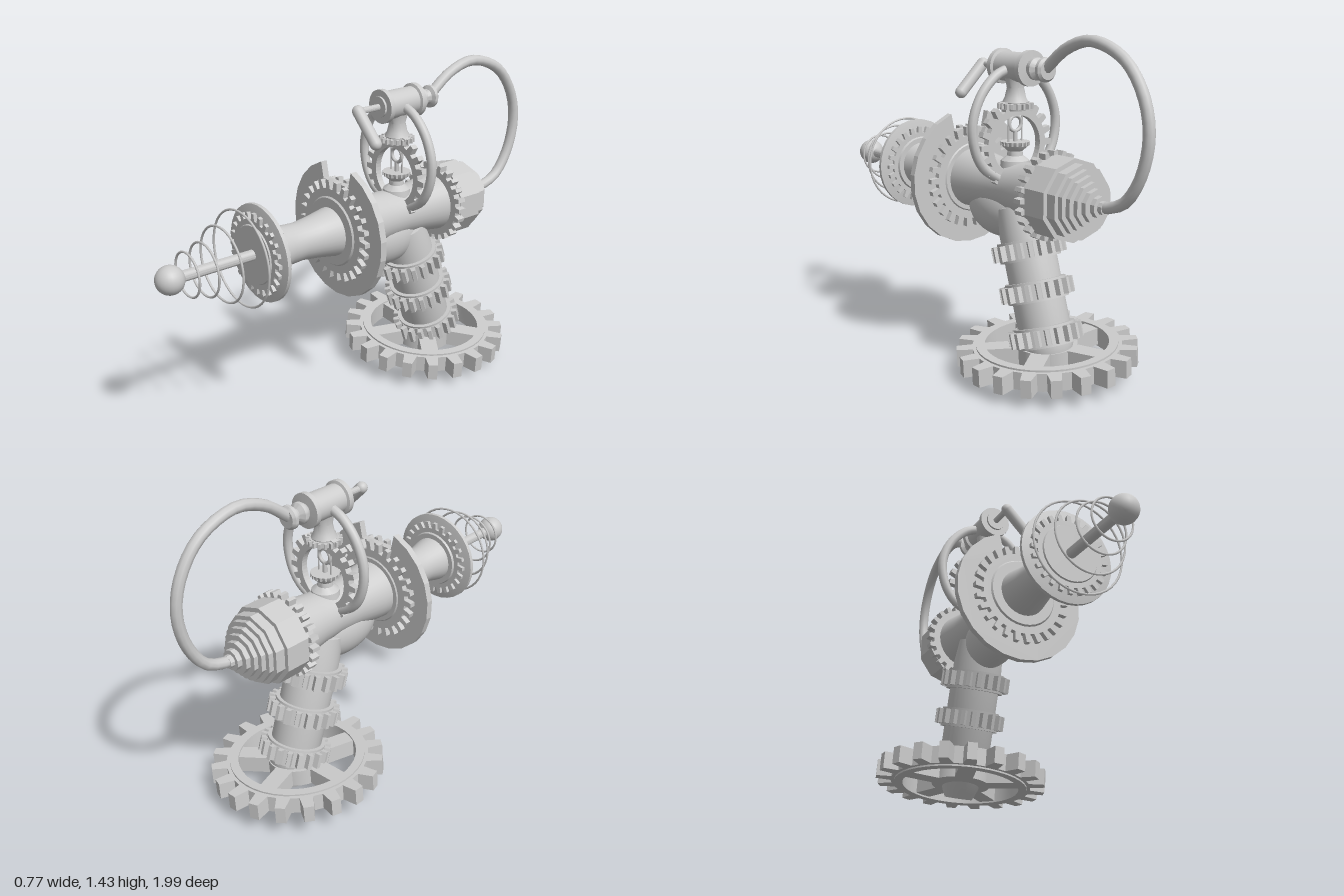
import * as THREE from 'three';
import { toCreasedNormals } from 'three/addons/utils/BufferGeometryUtils.js';

const AXIS = 0.78; // height of the barrel axis
const POST = -0.22; // z of the post, arch and wheel

export function createModel() {
  const model = new THREE.Group();
  const grey = new THREE.MeshStandardMaterial({ color: 0xcccccc, side: THREE.DoubleSide });

  function add(name, geometry, x = 0, y = 0, z = 0, parent = model) {
    const mesh = new THREE.Mesh(geometry, grey);
    mesh.name = name;
    mesh.position.set(x, y, z);
    parent.add(mesh);
    return mesh;
  }

  // Turned part standing on y; profile is [radius, height] from low to high
  const turned = (profile, sides = 32, crease = 0.6) => toCreasedNormals(
    new THREE.LatheGeometry(profile.map(([r, h]) => new THREE.Vector2(r, h)), sides), crease);
  // The same lying along z
  const turnedZ = (profile, sides, crease) => turned(profile, sides, crease).rotateX(Math.PI / 2);

  const tube = (points, radius, segments = 40) => new THREE.TubeGeometry(
    new THREE.CatmullRomCurve3(points.map((p) => new THREE.Vector3(...p))), segments, radius, 10);

  // Flat gear facing z, centred on its thickness
  function gear(teeth, root, tip, depth, hole = 0, spokes = 0, hub = 0) {
    const pts = [];
    const step = (Math.PI * 2) / teeth;
    for (let i = 0; i < teeth; i++) {
      for (const [f, r] of [[-0.3, root], [-0.18, tip], [0.18, tip], [0.3, root]]) {
        const a = (i + f) * step;
        pts.push(new THREE.Vector2(Math.cos(a) * r, Math.sin(a) * r));
      }
    }
    const shape = new THREE.Shape(pts);
    if (spokes) {
      // Windows between the spokes
      const sector = (Math.PI * 2) / spokes;
      for (let i = 0; i < spokes; i++) {
        const a = i * sector;
        const window = new THREE.Path();
        window.absarc(0, 0, hole, a - sector * 0.38, a + sector * 0.38, false);
        window.absarc(0, 0, hub, a + sector * 0.25, a - sector * 0.25, true);
        window.closePath();
        shape.holes.push(window);
      }
    } else if (hole) {
      shape.holes.push(new THREE.Path().absarc(0, 0, hole, 0, Math.PI * 2, true));
    }
    const g = new THREE.ExtrudeGeometry(shape, { depth, bevelEnabled: false, curveSegments: 24 });
    return g.translate(0, 0, -depth / 2);
  }

  // Emitter: ball, rod and thin rings
  add('muzzleBall', new THREE.SphereGeometry(0.06, 24, 16), 0, AXIS, 0.938);
  add('muzzleRod', turnedZ([[0, 0.5], [0.023, 0.5], [0.023, 0.9], [0, 0.9]], 16), 0, AXIS, 0);
  for (const [z, r] of [[0.615, 0.205], [0.705, 0.16], [0.785, 0.113], [0.86, 0.093]]) {
    add('emitterRing', new THREE.TorusGeometry(r, 0.005, 6, 40), 0, AXIS, z);
  }

  // Front flange with toothed wheels on both sides
  add('frontFlange', turnedZ([[0, 0.48], [0.125, 0.48], [0.135, 0.5], [0.19, 0.508], [0.21, 0.512],
    [0.21, 0.528], [0.19, 0.532], [0.135, 0.54], [0.125, 0.557], [0, 0.557]], 32), 0, AXIS, 0);
  for (const z of [0.497, 0.543]) add('frontFlangeGear', gear(24, 0.15, 0.178, 0.016), 0, AXIS, z);

  // Waisted barrel and body
  add('barrel', turnedZ([[0.11, 0.09], [0.108, 0.16], [0.092, 0.25], [0.082, 0.33], [0.086, 0.4],
    [0.1, 0.46], [0.104, 0.49]]), 0, AXIS, 0);
  add('body', turnedZ([[0.135, -0.46], [0.13, -0.42], [0.115, -0.32], [0.107, -0.22], [0.112, -0.1],
    [0.128, 0.02], [0.133, 0.1]]), 0, AXIS, 0);
  add('belly', new THREE.SphereGeometry(1, 32, 20).scale(0.105, 0.13, 0.2), 0, 0.68, -0.14);

  // Shield disc, notched at the top for sighting
  const shield = new THREE.Shape();
  const sides = 20;
  const gap = 0.34;
  for (let i = 0; i <= sides; i++) {
    const a = Math.PI / 2 + gap + (i / sides) * (Math.PI * 2 - gap * 2);
    shield[i ? 'lineTo' : 'moveTo'](Math.cos(a) * 0.302, Math.sin(a) * 0.302);
  }
  shield.lineTo(0.085, 0.215);
  shield.lineTo(-0.085, 0.215);
  shield.closePath();
  add('shieldDisc', new THREE.ExtrudeGeometry(shield, { depth: 0.03, bevelEnabled: false }), 0, AXIS, 0.095);
  for (const z of [0.083, 0.137]) add('shieldGear', gear(26, 0.19, 0.228, 0.026), 0, AXIS, z);
  add('shieldCollar', turnedZ([[0, 0.065], [0.15, 0.065], [0.165, 0.08], [0.165, 0.14], [0.15, 0.157],
    [0, 0.157]]), 0, AXIS, 0);

  // Rear gear and stepped, faceted tail
  add('rearGear', gear(24, 0.162, 0.187, 0.04), 0, AXIS, -0.457);
  const tail = [[0.172, -0.59], [0.153, -0.635], [0.135, -0.658], [0.115, -0.68], [0.093, -0.7],
    [0.07, -0.722], [0.045, -0.745], [0.028, -0.765]];
  for (const [r, end] of tail) {
    add('tailStep', turnedZ([[0, end], [r, end], [r, -0.47], [0, -0.47]], 10, 0.2), 0, AXIS, 0);
  }

  // Hose looping from the tail to the upper chamber
  add('hose', tube([[0, 0.78, -0.74], [0, 0.79, -0.8], [0, 0.825, -0.87], [0, 0.94, -0.945],
    [0, 1.09, -0.973], [0, 1.23, -0.937], [0, 1.35, -0.84], [0, 1.41, -0.67], [0, 1.375, -0.53],
    [0, 1.29, -0.41]], 0.024, 28));

  // Upper chamber with hose nipple
  add('chamber', turnedZ([[0, -0.425], [0.04, -0.425], [0.05, -0.415], [0.05, -0.4], [0.034, -0.392],
    [0.028, -0.375], [0.046, -0.36], [0.046, -0.345], [0.035, -0.328], [0.074, -0.325], [0.074, -0.302],
    [0.062, -0.298], [0.062, -0.147], [0.074, -0.143], [0.074, -0.12], [0.045, -0.12], [0.045, -0.11],
    [0, -0.11]]), 0, 1.285, 0);

  // Crank
  add('crankRod', turnedZ([[0, -0.13], [0.014, -0.13], [0.014, 0.0], [0, 0.0]], 14), 0, 1.285, 0);
  const handle = new THREE.CapsuleGeometry(0.026, 0.165, 6, 14);
  add('crankHandle', handle, 0.058, 1.228, 0.002).rotation.z = Math.PI / 4;

  // Post: flared upper neck and lower cup, each ending in a small gear
  add('upperNeck', turned([[0, 1.105], [0.045, 1.105], [0.055, 1.14], [0.045, 1.16], [0.036, 1.2],
    [0.045, 1.24]], 24), 0, 0, POST);
  add('upperNeckGear', gear(18, 0.062, 0.077, 0.022).rotateX(Math.PI / 2), 0, 1.125, POST);
  add('lowerCup', turned([[0.065, 0.86], [0.06, 0.895], [0.034, 0.915], [0.032, 0.935], [0.055, 0.955],
    [0.062, 0.975], [0, 0.975]], 24), 0, 0, POST);
  add('lowerCupGear', gear(18, 0.05, 0.063, 0.016).rotateX(Math.PI / 2), 0, 0.967, POST);

  // Small lens between neck and cup, with side wires
  add('lens', new THREE.TorusGeometry(0.032, 0.008, 8, 24), 0, 1.05, POST);
  add('lensStem', new THREE.CylinderGeometry(0.01, 0.01, 0.05, 10), 0, 0.995, POST);
  for (const s of [-1, 1]) {
    add('lensWire', new THREE.CylinderGeometry(0.004, 0.004, 0.15, 6), s * 0.036, 1.04, POST);
  }

  // Upright toothed wheel and the arch around it
  add('uprightWheel', gear(20, 0.155, 0.19, 0.03, 0.125), 0, 0.96, POST);
  for (const s of [-1, 1]) {
    add('archTube', tube([[s * 0.04, 1.28, POST], [s * 0.11, 1.25, POST], [s * 0.185, 1.17, POST],
      [s * 0.224, 1.06, POST], [s * 0.21, 0.95, POST], [s * 0.165, 0.875, POST],
      [s * 0.09, 0.825, POST]], 0.021, 24));
  }

  // Leaning grip with three gear bands
  const grip = new THREE.Group();
  grip.name = 'grip';
  grip.position.set(0, 0.36, -0.37);
  grip.rotation.x = THREE.MathUtils.degToRad(18);
  model.add(grip);
  add('gripShaft', turned([[0, -0.335], [0.04, -0.335], [0.045, -0.358], [0.062, -0.358], [0.075, -0.33],
    [0.1, -0.27], [0.112, -0.23], [0.112, 0.25], [0.1, 0.36], [0, 0.38]]), 0, 0, 0, grip);
  for (const y of [-0.19, 0, 0.175]) {
    add('gripGear', gear(20, 0.133, 0.158, 0.065).rotateX(Math.PI / 2), 0, y, 0, grip);
    add('gripCollar', new THREE.CylinderGeometry(0.13, 0.13, 0.085, 32), 0, y, 0, grip);
  }

  // Large base wheel, slightly tilted
  const base = new THREE.Group();
  base.name = 'baseWheel';
  base.position.set(-0.013, 0.102, -0.425);
  base.rotation.z = -0.065;
  model.add(base);
  add('baseGear', gear(20, 0.315, 0.382, 0.075, 0.262, 5, 0.13).rotateX(Math.PI / 2), 0, 0, 0, base);
  add('baseRim', turned([[0.262, -0.045], [0.3, -0.045], [0.3, 0.045], [0.262, 0.045], [0.262, -0.045]], 40),
    0, 0, 0, base);

  // Everything but the base wheel sits slightly off centre
  model.position.x = 0.013;
  const root = new THREE.Group();
  root.name = 'gearedDevice';
  root.add(model);
  return root;
}
